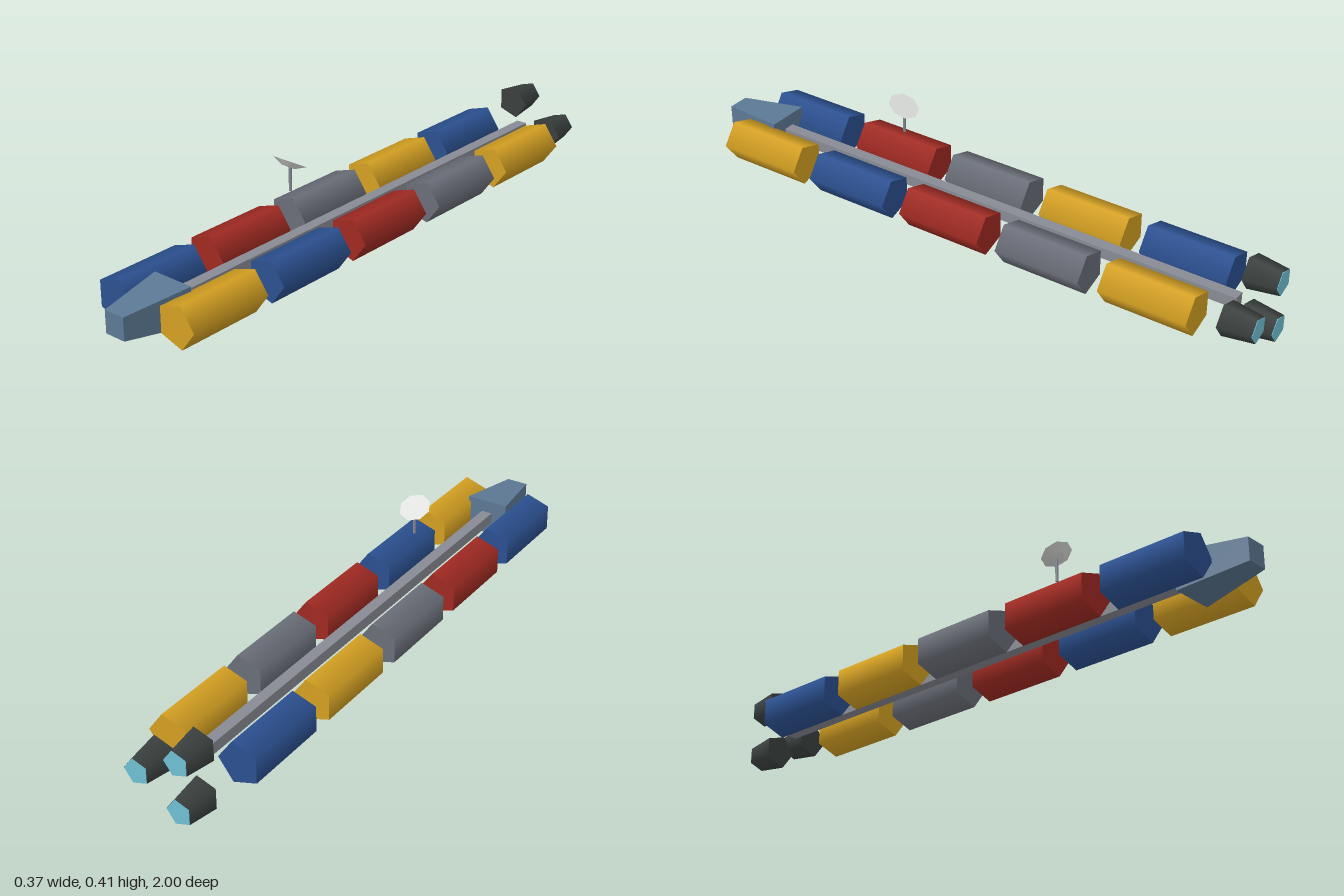
import * as THREE from 'three';

const mat = (name, color, extra = {}) => Object.assign(new THREE.MeshStandardMaterial({ color, ...extra }), { name });

export function createModel() {
  const yellow = mat('yellow', 0xd4a022);
  const blue = mat('blue', 0x2b5090);
  const red = mat('red', 0xa02a22);
  const grey = mat('grey', 0x6a6e78);
  const steel = mat('steel', 0x888b94);
  const charcoal = mat('charcoal', 0x3a403f);
  const hull = mat('hullBlue', 0x5c7894, { flatShading: true });
  const glow = mat('glow', 0x70c0d4);
  const white = mat('paleGrey', 0xdcdfdc);

  const CX = -0.008, CY = 0.138; // axis of the ship
  const model = new THREE.Group();
  model.name = 'cargoShip';

  function add(name, geometry, material, x, y, z) {
    const mesh = new THREE.Mesh(geometry, material);
    mesh.name = name;
    mesh.position.set(x, y, z);
    model.add(mesh);
    return mesh;
  }

  // five-sided prism lying along z, one corner towards +x
  const prism = (rFront, rBack, length) =>
    new THREE.CylinderGeometry(rFront, rBack, length, 5, 1, false, Math.PI / 2).rotateX(Math.PI / 2);

  // central spine
  add('spine', new THREE.BoxGeometry(0.037, 0.037, 1.78), steel, CX, CY, 0);

  // tapered cockpit: the nose end is smaller and slightly raised
  const cockpit = new THREE.BoxGeometry(0.143, 0.12, 0.22);
  const p = cockpit.attributes.position;
  for (let i = 0; i < p.count; i++) {
    if (p.getZ(i) > 0) {
      p.setX(i, p.getX(i) * 0.5);
      p.setY(i, p.getY(i) * 0.605 + 0.005);
    }
  }
  cockpit.computeVertexNormals();
  add('cockpit', cockpit, hull, CX, CY, 0.89);

  // two rows of cargo tanks, colours shifted by one between the rows
  const colours = [yellow, blue, red, grey];
  const tank = prism(0.071, 0.071, 0.29);
  for (let i = 0; i < 5; i++) {
    const z = 0.745 - i * 0.3555;
    add('leftTank' + (i + 1), tank, colours[i % 4], CX + 0.12, CY, z);
    add('rightTank' + (i + 1), tank, colours[(i + 1) % 4], CX - 0.12, CY, z);
  }

  // three engines in a ring, with glowing exhausts
  const engine = prism(0.057, 0.043, 0.103);
  const exhaust = prism(0.042, 0.042, 0.003);
  for (let i = 0; i < 3; i++) {
    const a = (i * Math.PI * 2) / 3;
    const x = CX + 0.0935 * Math.cos(a), y = CY + 0.0935 * Math.sin(a);
    add('engine' + (i + 1), engine, charcoal, x, y, -0.9465);
    add('exhaust' + (i + 1), exhaust, glow, x, y, -0.9985);
  }

  // antenna mast and tilted dish
  add('antennaMast', new THREE.CylinderGeometry(0.005, 0.005, 0.08, 6), steel, CX, 0.34, 0.295);
  const dishShape = new THREE.CylinderGeometry(0.051, 0.02, 0.016, 8, 1, false, Math.PI / 2).translate(0, -0.008, 0);
  const dish = add('antennaDish', dishShape, white, CX, 0.392, 0.295);
  dish.rotation.x = -0.52;

  return model;
}
